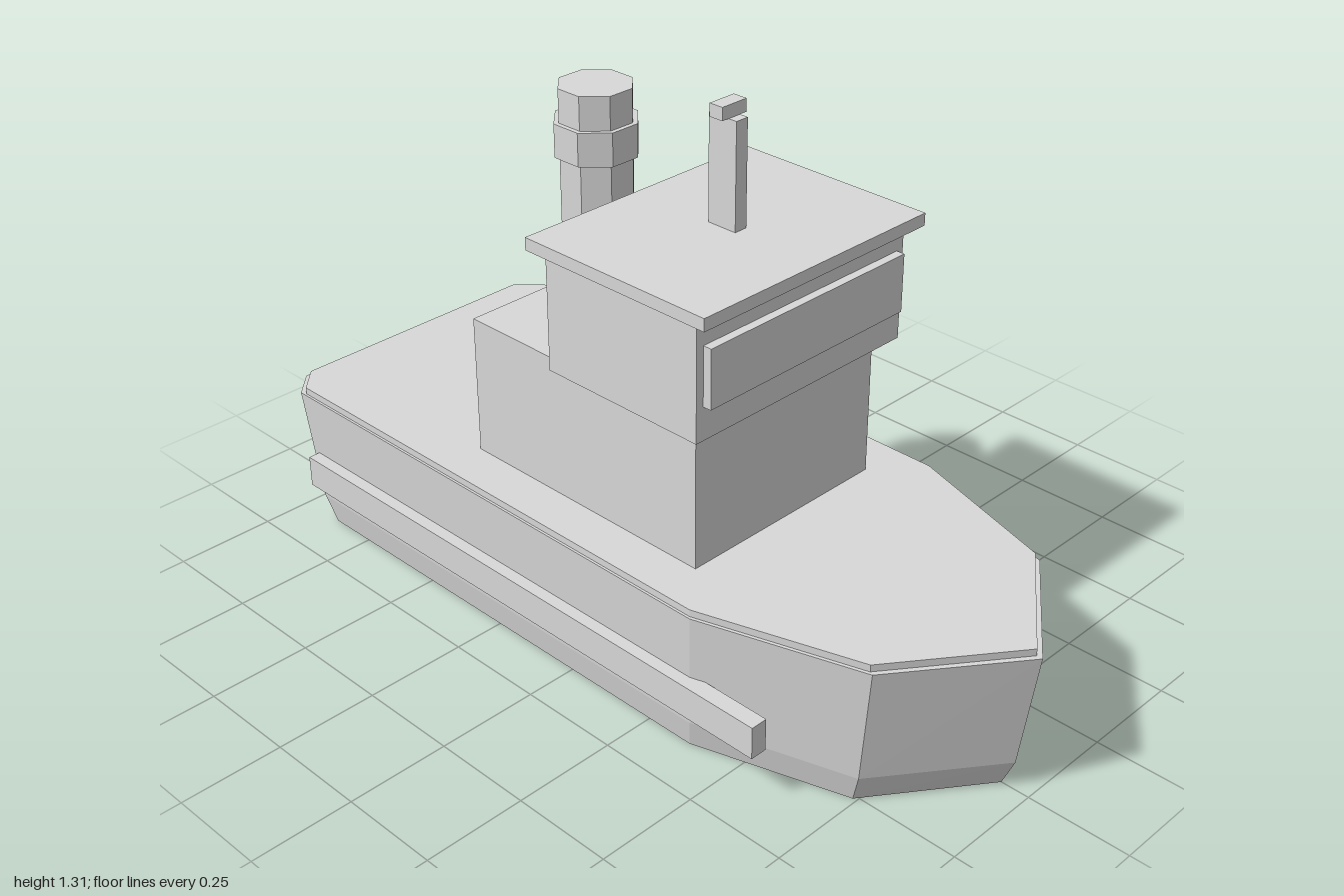
import * as THREE from 'three';

export function createModel() {
  const model = new THREE.Group();
  const grey = new THREE.MeshStandardMaterial({ color: 0xd8d8d8 });
  grey.name = 'light grey';

  const add = (name, geometry, x = 0, y = 0, z = 0) => {
    const mesh = new THREE.Mesh(geometry, grey);
    mesh.name = name;
    mesh.position.set(x, y, z);
    model.add(mesh);
  };

  // Box given by its width (centred on x) and its y and z ranges
  const box = (name, width, y0, y1, z0, z1, x = 0) =>
    add(name, new THREE.BoxGeometry(width, y1 - y0, z1 - z0), x, (y0 + y1) / 2, (z0 + z1) / 2);

  // Solid lofted through mirrored half outlines, each { y, half: [[x, z], ...] } from bow to stern
  const loft = (levels) => {
    const rings = levels.map(({ y, half }) => {
      const left = half.map(([x, z]) => [x, y, z]);
      const right = half.slice(1).reverse().map(([x, z]) => [-x, y, z]);
      return [...left, ...right];
    });
    const n = rings[0].length;
    const pos = [];
    const tri = (a, b, c) => pos.push(...a, ...b, ...c);
    for (let r = 0; r < rings.length - 1; r++) {
      const lo = rings[r], hi = rings[r + 1];
      for (let i = 0; i < n; i++) {
        const j = (i + 1) % n;
        tri(lo[i], lo[j], hi[j]);
        tri(lo[i], hi[j], hi[i]);
      }
    }
    const top = rings[rings.length - 1], bottom = rings[0];
    for (let i = 1; i < n - 1; i++) {
      tri(top[0], top[i], top[i + 1]);
      tri(bottom[0], bottom[i + 1], bottom[i]);
    }
    const g = new THREE.BufferGeometry();
    g.setAttribute('position', new THREE.Float32BufferAttribute(pos, 3));
    g.computeVertexNormals();
    return g;
  };

  // Hull, narrowing towards a chine and a flat bottom
  add('hull', loft([
    { y: 0, half: [[0, 0.93], [0.26, 0.74], [0.372, 0.372], [0.372, -0.875], [0.316, -0.93]] },
    { y: 0.07, half: [[0, 0.96], [0.269, 0.76], [0.384, 0.384], [0.384, -0.902], [0.326, -0.96]] },
    { y: 0.36, half: [[0, 1], [0.28, 0.79], [0.4, 0.4], [0.4, -0.94], [0.34, -1]] },
  ]));

  // Slightly inset deck plate
  const deck = [[0, 0.985], [0.275, 0.78], [0.394, 0.394], [0.394, -0.926], [0.335, -0.985]];
  add('deck', loft([{ y: 0.36, half: deck }, { y: 0.377, half: deck }]));

  // Rubbing strakes on both sides
  for (const side of [1, -1]) {
    box(side > 0 ? 'leftFender' : 'rightFender', 0.042, 0.12, 0.2, -0.9, 0.6, side * 0.401);
  }

  // Deckhouse, wheelhouse and roof
  box('deckhouse', 0.56, 0.37, 0.72, -0.4, 0.3);
  box('wheelhouse', 0.64, 0.72, 1.0, -0.1, 0.34);
  box('frontWindow', 0.6, 0.8, 0.94, 0.34, 0.361);
  box('roof', 0.68, 1.0, 1.03, -0.14, 0.38);

  // Mast with its lamp
  box('mast', 0.034, 1.03, 1.28, 0.08, 0.158);
  box('mastLamp', 0.072, 1.28, 1.31, 0.1, 0.136);

  // Eight-sided funnel and its band, flats facing the axes
  const octagon = (name, apothem, y0, y1) => {
    const r = apothem / Math.cos(Math.PI / 8);
    const g = new THREE.CylinderGeometry(r, r, y1 - y0, 8).rotateY(Math.PI / 8).toNonIndexed();
    g.computeVertexNormals();
    add(name, g, 0, (y0 + y1) / 2, -0.28);
  };
  octagon('funnel', 0.081, 0.72, 1.24);
  octagon('funnelBand', 0.092, 1.08, 1.16);

  return model;
}
